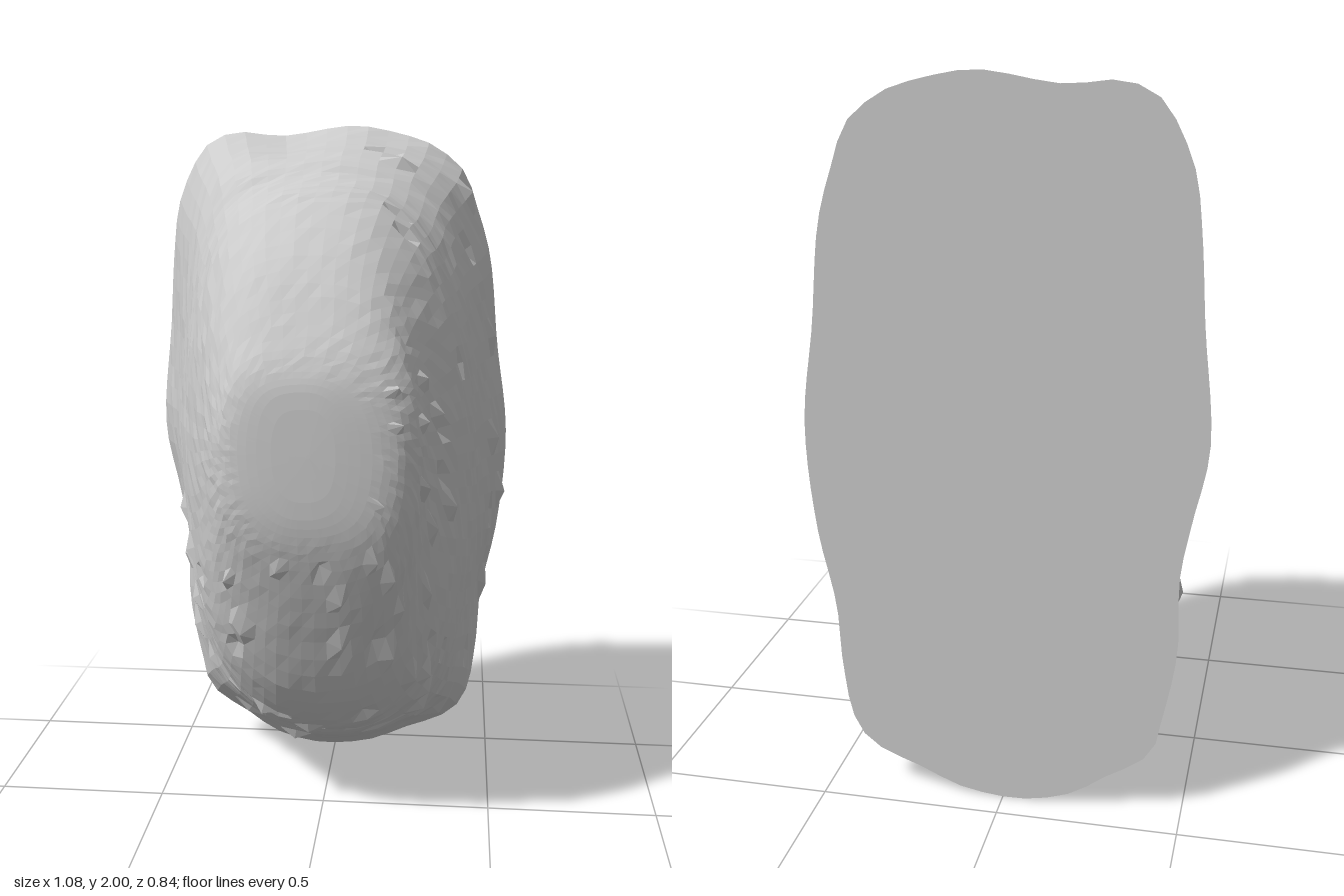
import * as THREE from 'three';

const RING = 84, ROWS = 40;

// Back outline, anticlockwise seen from the front
const outline = [
  [0.535, 1.08], [0.5, 1.35], [0.47, 1.62], [0.425, 1.77], [0.385, 1.87], [0.28, 1.95], [0.2, 1.975],
  [0.06, 2], [-0.16, 1.97], [-0.31, 1.98], [-0.395, 1.94], [-0.435, 1.88], [-0.48, 1.77], [-0.5, 1.62],
  [-0.515, 1.4], [-0.54, 1.08], [-0.5, 0.87], [-0.475, 0.72], [-0.475, 0.5], [-0.44, 0.3], [-0.41, 0.19],
  [-0.27, 0.09], [-0.2, 0.04], [-0.05, 0], [0.13, 0.02], [0.22, 0.06], [0.38, 0.13], [0.43, 0.2],
  [0.46, 0.38], [0.47, 0.55], [0.515, 0.78],
];

// Extents of each slice from back to front: z, bottom, top, left edge, right edge
const slices = [
  [-0.42, 0, 2, -0.54, 0.535], [-0.3, 0.075, 1.96, -0.5, 0.51], [-0.2, 0.125, 1.94, -0.465, 0.485],
  [-0.1, 0.17, 1.91, -0.435, 0.455], [-0.05, 0.2, 1.87, -0.42, 0.44], [0, 0.235, 1.845, -0.405, 0.425],
  [0.05, 0.265, 1.835, -0.39, 0.405], [0.1, 0.31, 1.8, -0.375, 0.38], [0.2, 0.435, 1.71, -0.335, 0.33],
  [0.28, 0.605, 1.615, -0.3, 0.3], [0.34, 0.75, 1.52, -0.27, 0.285], [0.385, 0.87, 1.44, -0.24, 0.24],
  [0.405, 0.94, 1.39, -0.2, 0.185], [0.416, 1.01, 1.34, -0.13, 0.1], [0.42, 1.17, 1.18, -0.005, 0.005],
];

// Repeatable value from 0 to 1 for a grid cell
function hash(a, b) {
  const s = Math.sin(a * 127.1 + b * 311.7) * 43758.5453;
  return s - Math.floor(s);
}

function buildRock() {
  const rim = new THREE.CatmullRomCurve3(outline.map(([x, y]) => new THREE.Vector3(x, y, 0)), true)
    .getSpacedPoints(RING).slice(0, RING);
  const heights = new THREE.CatmullRomCurve3(slices.map(s => new THREE.Vector3(s[0], s[1], s[2])));
  const widths = new THREE.CatmullRomCurve3(slices.map(s => new THREE.Vector3(s[0], s[3], s[4])));
  const pos = [], index = [];

  for (let r = 0; r <= ROWS; r++) {
    const t = r / ROWS;
    const h = heights.getPoint(t), w = widths.getPoint(t), z = h.x;
    // The irregular back outline eases into a soft oval on the front lobe
    const ease = 0.85 * THREE.MathUtils.smoothstep(z, -0.4, 0.1);
    for (let i = 0; i < RING; i++) {
      const u = rim[i].x / 0.5375, v = rim[i].y - 1;
      // Rounder at the upper right than elsewhere
      const n = 2.65 - 0.25 * Math.max(0, u * v) * 2;
      const toOval = Math.pow(Math.abs(u) ** n + Math.abs(v) ** n, -1 / n);
      const k = THREE.MathUtils.lerp(1, toOval, ease);
      let x = (w.y + w.z) / 2 + u * k * (w.z - w.y) / 2;
      let y = (h.y + h.z) / 2 + v * k * (h.z - h.y) / 2;
      if (r > 0 && r < ROWS - 5) {
        // Fine roughness, with sharp chips scattered over the right and lower faces
        const chipped = (x > 0.15 || y < 0.9) && hash(i + 7, r) > 0.96;
        const d = 0.006 * (hash(i, r) - 0.5) + (chipped ? (hash(r, i) > 0.5 ? 0.022 : -0.022) : 0);
        const a = Math.atan2((y - 1.1) * 0.5, x);
        x += Math.cos(a) * d;
        y += Math.sin(a) * d;
      }
      pos.push(x, y, z);
      if (r < ROWS) {
        const a = r * RING + i, b = r * RING + (i + 1) % RING;
        index.push(a, b, b + RING, a, b + RING, a + RING);
      }
    }
  }
  // Flat back and tiny front closure
  const back = pos.length / 3;
  pos.push(0, 1, -0.42, 0, 1.175, 0.42);
  for (let i = 0; i < RING; i++) {
    const j = (i + 1) % RING, f = ROWS * RING;
    index.push(back, j, i, back + 1, f + i, f + j);
  }
  const g = new THREE.BufferGeometry();
  g.setAttribute('position', new THREE.Float32BufferAttribute(pos, 3));
  g.setIndex(index);
  g.computeVertexNormals();
  return g;
}

export function createModel() {
  const group = new THREE.Group();
  const rock = new THREE.Mesh(buildRock(),
    new THREE.MeshStandardMaterial({ color: 0xcccccc, flatShading: true }));
  rock.name = 'rock';
  group.add(rock);
  return group;
}
